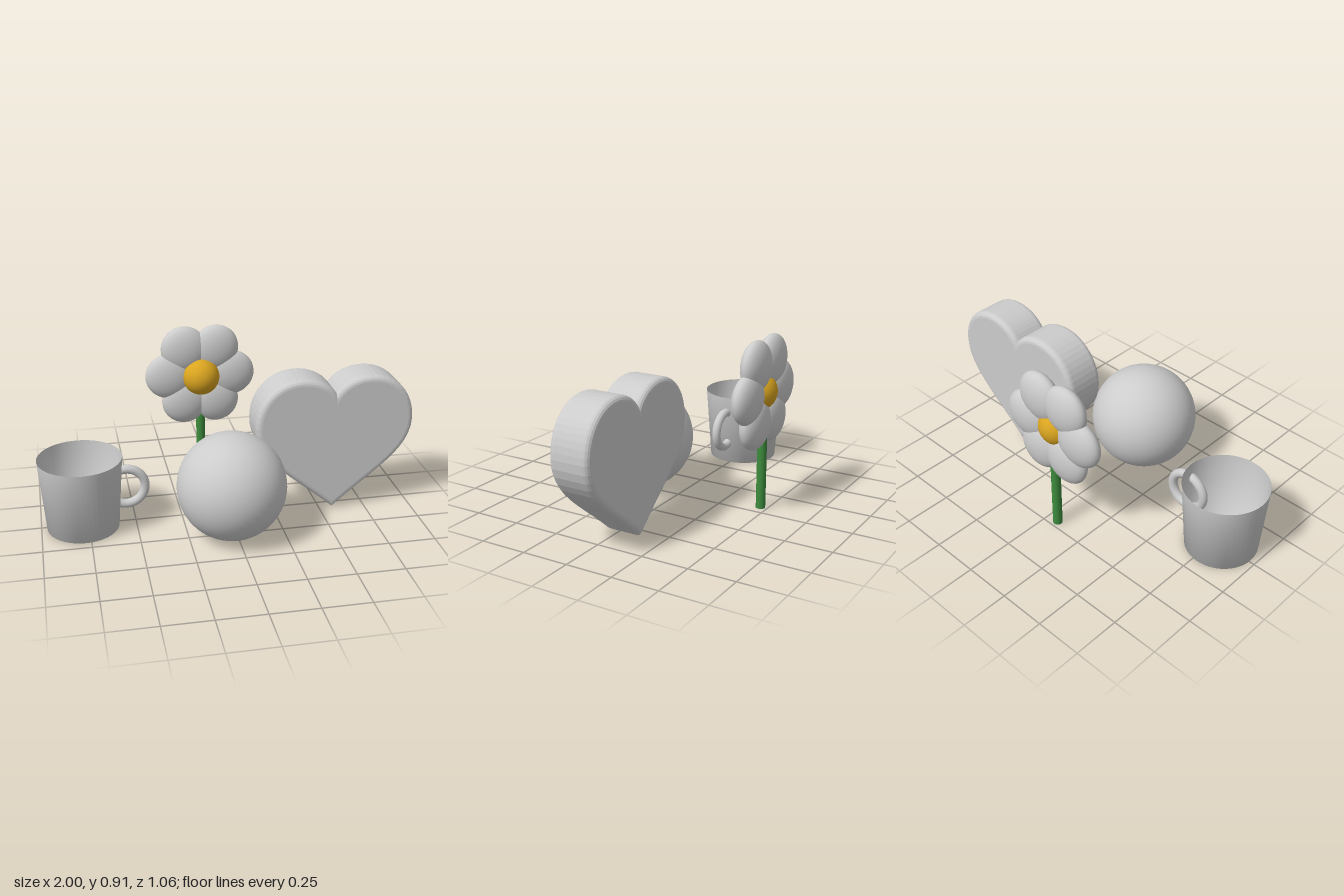
import * as THREE from 'three';

export function createModel() {
  const model = new THREE.Group();
  model.name = 'shapesAndFlower';

  const grey = new THREE.MeshStandardMaterial({ color: 0xcccccc, side: THREE.DoubleSide });
  grey.name = 'lightGrey';
  const gold = new THREE.MeshStandardMaterial({ color: 0xdaa520 });
  gold.name = 'gold';
  const green = new THREE.MeshStandardMaterial({ color: 0x3d8b3d });
  green.name = 'stemGreen';

  function add(parent, name, geometry, material, x = 0, y = 0, z = 0) {
    const mesh = new THREE.Mesh(geometry, material);
    mesh.name = name;
    mesh.position.set(x, y, z);
    parent.add(mesh);
    return mesh;
  }
  function group(name, x, y, z) {
    const g = new THREE.Group();
    g.name = name;
    g.position.set(x, y, z);
    model.add(g);
    return g;
  }

  // Mug: thin tapered cup with a closed floor and a ring handle
  const mug = group('mug', -0.78, 0, 0.012);
  const cupProfile = [[0, 0], [0.19, 0], [0.22, 0.397]].map(([r, y]) => new THREE.Vector2(r, y));
  add(mug, 'cup', new THREE.LatheGeometry(cupProfile, 48), grey);
  add(mug, 'handle', new THREE.TorusGeometry(0.1, 0.024, 16, 48), grey, 0.235, 0.21, 0);

  // Ball
  add(model, 'ball', new THREE.SphereGeometry(0.283, 48, 32), grey, -0.025, 0.283, 0.25);

  // Heart: bevelled slab, outline grows by the bevel size
  const outline = new THREE.Shape();
  outline.moveTo(0, 0.61);
  outline.bezierCurveTo(-0.03, 0.69, -0.1, 0.73, -0.187, 0.73);
  outline.bezierCurveTo(-0.31, 0.73, -0.4, 0.63, -0.4, 0.5);
  outline.bezierCurveTo(-0.4, 0.33, -0.22, 0.24, 0, 0.045);
  outline.bezierCurveTo(0.22, 0.24, 0.4, 0.33, 0.4, 0.5);
  outline.bezierCurveTo(0.4, 0.63, 0.31, 0.73, 0.187, 0.73);
  outline.bezierCurveTo(0.1, 0.73, 0.03, 0.69, 0, 0.61);
  const heart = new THREE.ExtrudeGeometry(outline, {
    depth: 0.16, bevelEnabled: true, bevelThickness: 0.03, bevelSize: 0.03,
    bevelSegments: 4, curveSegments: 12,
  });
  add(model, 'heart', heart, grey, 0.57, 0, -0.107);

  // Flower: six flattened petals around a round centre on a stem
  const flower = group('flower', -0.067, 0.63, -0.462);
  const petal = new THREE.SphereGeometry(1, 32, 24).scale(0.135, 0.13, 0.062);
  for (let i = 0; i < 6; i++) {
    const a = (i * Math.PI) / 3;
    add(flower, 'petal', petal, grey, 0.172 * Math.cos(a), 0.172 * Math.sin(a), 0).rotation.z = a;
  }
  add(flower, 'flowerCentre', new THREE.SphereGeometry(0.103, 32, 24), gold, 0, 0, 0.034);
  add(flower, 'stem', new THREE.CylinderGeometry(0.025, 0.025, 0.5, 24), green, 0, -0.38, 0);

  return model;
}
